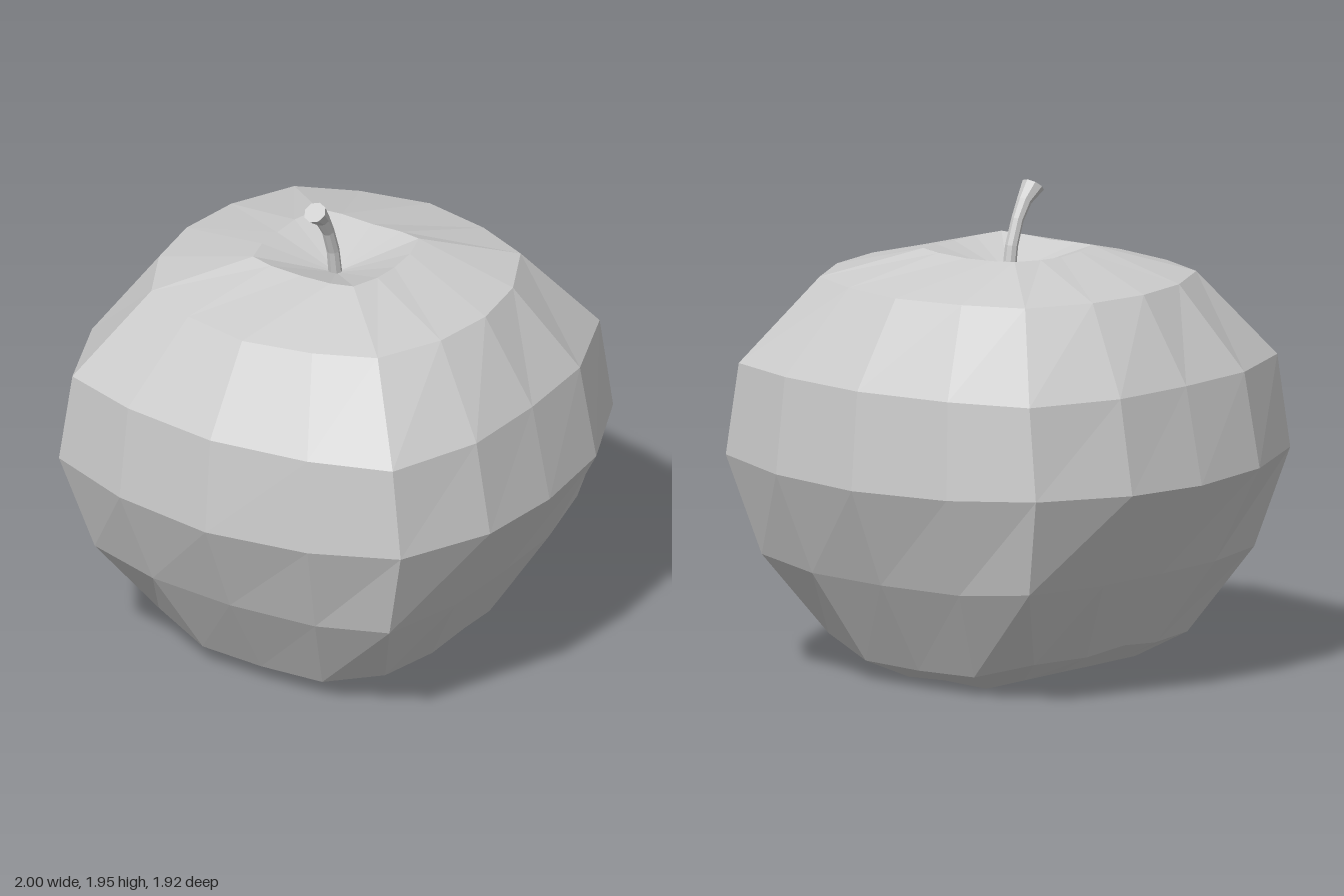
import * as THREE from 'three';

// Skin closed cross-sections (listed bottom to top, counter-clockwise seen from above) with flat facets.
function loft(rings) {
  const n = rings[0].length;
  const pos = [];
  const tri = (a, b, c) => {
    const area = new THREE.Vector3().subVectors(b, a).cross(new THREE.Vector3().subVectors(c, a)).length();
    if (area > 1e-7) for (const p of [a, b, c]) pos.push(p.x, p.y, p.z);
  };
  for (let i = 0; i < rings.length - 1; i++) {
    for (let j = 0; j < n; j++) {
      const k = (j + 1) % n;
      const a = rings[i][j], b = rings[i][k], c = rings[i + 1][k], d = rings[i + 1][j];
      tri(a, b, c);
      tri(a, c, d);
    }
  }
  const g = new THREE.BufferGeometry();
  g.setAttribute('position', new THREE.Float32BufferAttribute(pos, 3));
  g.computeVertexNormals();
  return g;
}

// Rounded-square ring of 16 points from one quadrant: front middle, front quarter, corner, side quarter, side middle.
function squareRing(q) {
  const put = (list, sx, sz) => list.map(([x, y, z]) => new THREE.Vector3(x * sx, y, z * sz));
  const back = [...q].reverse();
  return [
    ...put(q.slice(0, 4), 1, 1),
    ...put(back.slice(0, 4), 1, -1),
    ...put(q.slice(0, 4), -1, -1),
    ...put(back.slice(0, 4), -1, 1),
  ];
}
const apex = (y) => Array(5).fill([0, y, 0]);

export function createModel() {
  const group = new THREE.Group();
  group.name = 'apple';
  const grey = new THREE.MeshStandardMaterial({ color: 0xcccccc, flatShading: true });
  grey.name = 'light grey';

  // Body, from the hollow underneath over the belly into the stem dimple
  const sections = [
    apex(0.2),
    [[0, 0.02, 0.25], [0.12, 0.02, 0.25], [0.22, 0.025, 0.22], [0.25, 0.03, 0.11], [0.26, 0.03, 0]],
    [[0, 0.01, 0.38], [0.2, 0, 0.37], [0.37, 0.05, 0.34], [0.42, 0.065, 0.17], [0.44, 0.07, 0]],
    [[0, 0.075, 0.55], [0.28, 0.08, 0.54], [0.53, 0.15, 0.47], [0.585, 0.15, 0.21], [0.6, 0.17, 0]],
    [[0, 0.45, 0.78], [0.38, 0.45, 0.75], [0.69, 0.48, 0.69], [0.78, 0.48, 0.34], [0.79, 0.48, 0]],
    [[0, 0.855, 0.96], [0.44, 0.86, 0.9], [0.8, 0.88, 0.78], [0.97, 0.87, 0.39], [1, 0.86, 0]],
    [[0, 1.25, 0.925], [0.42, 1.25, 0.87], [0.75, 1.25, 0.76], [0.9, 1.25, 0.38], [0.92, 1.25, 0]],
    [[0, 1.59, 0.69], [0.29, 1.59, 0.63], [0.53, 1.59, 0.525], [0.66, 1.59, 0.265], [0.7, 1.59, 0]],
    [[0, 1.69, 0.26], [0.14, 1.695, 0.26], [0.235, 1.7, 0.24], [0.27, 1.695, 0.12], [0.275, 1.69, 0]],
    apex(1.59),
  ];
  const body = new THREE.Mesh(loft(sections.map(squareRing)), grey);
  body.name = 'body';
  group.add(body);

  // Stem: octagonal sections [y, z, radius, tilt] leaning to the front and flaring at the tip
  const path = [
    [1.56, 0, 0.028, 0.1],
    [1.7, 0.022, 0.026, 0.2],
    [1.8, 0.058, 0.025, 0.42],
    [1.87, 0.1, 0.03, 0.58],
    [1.925, 0.155, 0.046, 0.65],
    [1.925, 0.155, 0, 0.65],
  ];
  const stemRings = path.map(([y, z, r, tilt]) => Array.from({ length: 8 }, (_, j) => {
    const a = (j / 8) * Math.PI * 2;
    return new THREE.Vector3(Math.sin(a) * r, 0, Math.cos(a) * r)
      .applyAxisAngle(new THREE.Vector3(1, 0, 0), tilt)
      .add(new THREE.Vector3(0, y, z));
  }));
  const stem = new THREE.Mesh(loft(stemRings), grey);
  stem.name = 'stem';
  group.add(stem);

  return group;
}
